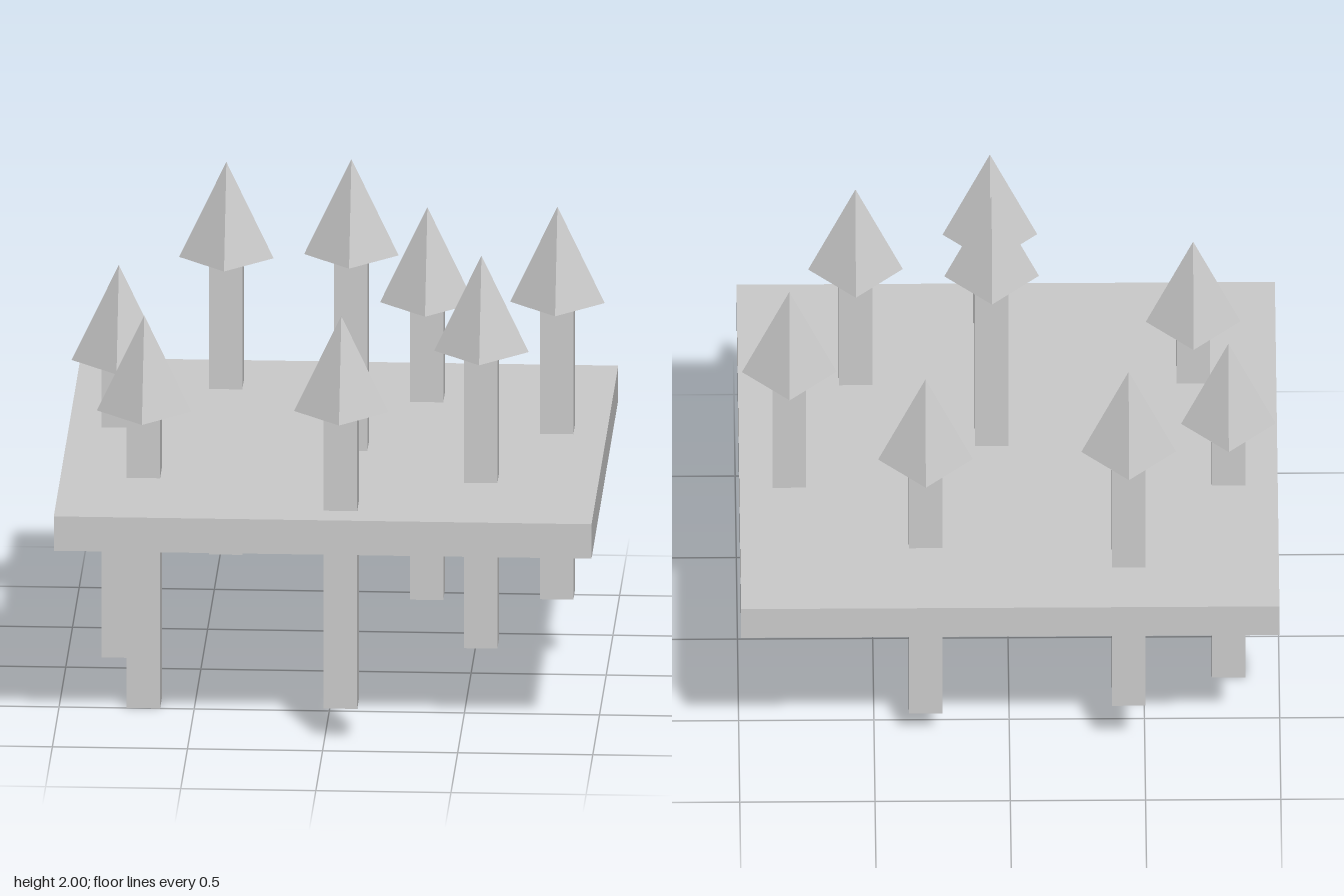
import * as THREE from 'three';

const grey = new THREE.MeshStandardMaterial({ color: 0xcccccc, flatShading: true, side: THREE.DoubleSide });

function add(parent, name, geometry, x, y, z) {
  const mesh = new THREE.Mesh(geometry, grey);
  mesh.name = name;
  mesh.position.set(x, y, z);
  parent.add(mesh);
}

// Square tube, open at both ends, sides square to the axes
function squareTube(width, height) {
  const r = width / Math.SQRT2;
  return new THREE.CylinderGeometry(r, r, height, 4, 1, true).rotateY(Math.PI / 4);
}

export function createModel() {
  const model = new THREE.Group();
  model.name = 'treePlatform';

  // Ground slab: a top sheet with four side walls, open underneath
  const size = 1.99, slabTop = 0.89, slabBottom = 0.757;
  const slab = new THREE.Group();
  slab.name = 'groundSlab';
  add(slab, 'groundTop', new THREE.PlaneGeometry(size, size).rotateX(-Math.PI / 2), 0, slabTop, 0);
  add(slab, 'groundSides', squareTube(size, slabTop - slabBottom), 0, (slabTop + slabBottom) / 2, 0);
  model.add(slab);

  // Identical trees pushed through the slab at different heights: x, z, tip height
  const treeHeight = 1.5, crownHeight = 0.37, trunkHeight = treeHeight - crownHeight;
  const trunk = squareTube(0.124, trunkHeight);
  const crown = new THREE.ConeGeometry(0.175, crownHeight, 4);
  const trees = [
    [-0.44, -0.69, 1.75],
    [0.31, -0.565, 1.625],
    [-0.813, -0.19, 1.5],
    [0.81, -0.19, 1.75],
    [0.06, 0.06, 2],
    [-0.688, 0.437, 1.5],
    [0.56, 0.437, 1.75],
    [0.06, 0.812, 1.625],
  ];
  for (const [x, z, tip] of trees) {
    const tree = new THREE.Group();
    tree.name = 'tree';
    tree.position.set(x, tip - treeHeight, z);
    add(tree, 'trunk', trunk, 0, trunkHeight / 2, 0);
    add(tree, 'crown', crown, 0, trunkHeight + crownHeight / 2, 0);
    model.add(tree);
  }
  return model;
}
